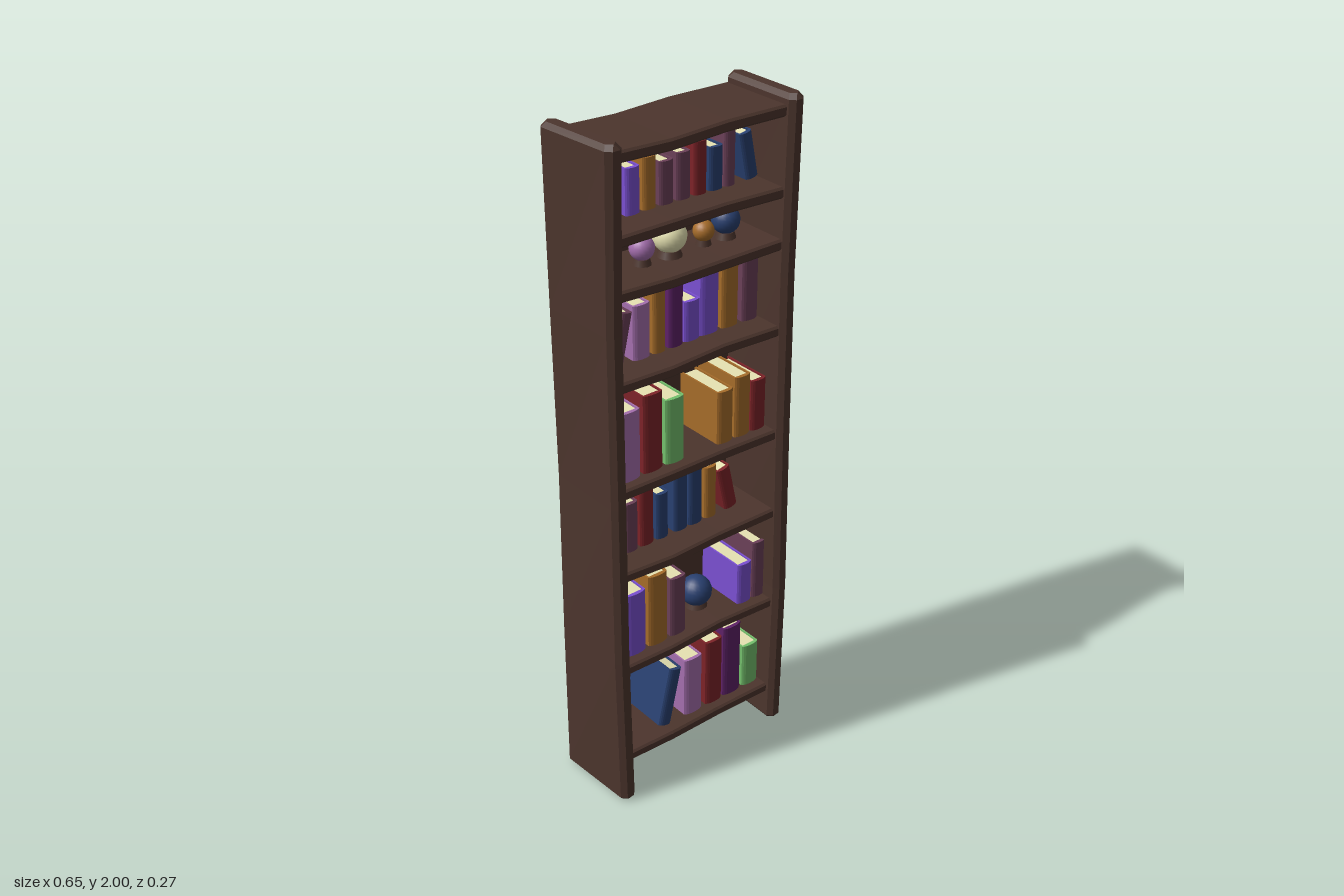
import * as THREE from 'three';

const mat = (name, color) => new THREE.MeshStandardMaterial({ name, color });
const M = {
  wood: mat('dark wood', 0x4c352d),
  violet: mat('violet cover', 0x7b50d2),
  ochre: mat('ochre cover', 0xa66c2a),
  plum: mat('plum cover', 0x6b4058),
  red: mat('red cover', 0x7d2328),
  navy: mat('navy cover', 0x294070),
  purple: mat('dark purple cover', 0x5e2268),
  lilac: mat('lilac cover', 0xa56fae),
  green: mat('green cover', 0x74c06c),
  cream: mat('cream paper', 0xeeeab8),
};

function add(parent, name, geometry, material, x = 0, y = 0, z = 0) {
  const mesh = new THREE.Mesh(geometry, material);
  mesh.name = name;
  mesh.position.set(x, y, z);
  parent.add(mesh);
  return mesh;
}

// Hand-hewn plank along y: chamfered cross-sections joined in a loop.
// Each station is [y, centre x, centre z, shear of x along z].
function plank(stations, w, d, bevel) {
  const last = stations.length - 1;
  const rings = stations.map(([y, cx, cz, shear], i) => ({ y, cx, cz, shear, inset: 0, i }));
  const first = rings[0], end = rings[last];
  rings.unshift({ ...first, inset: bevel });
  rings.push({ ...end, inset: bevel });
  first.y += bevel;
  end.y -= bevel;
  const pos = [], index = [];
  for (const { y, cx, cz, shear, inset } of rings) {
    const a = w / 2 - inset * 0.7, b = d / 2 - inset * 0.7, c = bevel;
    const outline = [[a, b - c], [a - c, b], [c - a, b], [-a, b - c],
      [-a, c - b], [c - a, -b], [a - c, -b], [a, c - b]];
    for (const [x, z] of outline) pos.push(cx + x + z * shear, y, cz + z);
  }
  for (let r = 0; r < rings.length - 1; r++) {
    for (let k = 0; k < 8; k++) {
      const p = r * 8 + k, q = r * 8 + (k + 1) % 8;
      index.push(p, p + 8, q, q, p + 8, q + 8);
    }
  }
  const top = (rings.length - 1) * 8;
  for (let k = 1; k < 7; k++) {
    index.push(0, k, k + 1);
    index.push(top, top + k + 1, top + k);
  }
  // Keep every face pointing outwards
  for (let i = 0; i < index.length - 12 * 3; i += 3) {
    [index[i + 1], index[i + 2]] = [index[i + 2], index[i + 1]];
  }
  for (let i = index.length - 12 * 3; i < index.length; i += 3) {
    const isTop = index[i] === top;
    const [a, b, c] = [index[i], index[i + 1], index[i + 2]].map((n) => new THREE.Vector3().fromArray(pos, n * 3));
    const up = b.sub(a).cross(c.sub(a)).y > 0;
    if (up !== isTop) [index[i + 1], index[i + 2]] = [index[i + 2], index[i + 1]];
  }
  const indexed = new THREE.BufferGeometry();
  indexed.setAttribute('position', new THREE.Float32BufferAttribute(pos, 3));
  indexed.setIndex(index);
  // Make the side walls face outwards too
  const p = (n) => new THREE.Vector3().fromArray(pos, n * 3);
  const [a, b, c] = [index[0], index[1], index[2]].map(p);
  const n = b.clone().sub(a).cross(c.clone().sub(a));
  const out = a.add(b).add(c).divideScalar(3).sub(new THREE.Vector3(first.cx, 0, first.cz)).setY(0);
  if (n.dot(out) < 0) {
    for (let i = 0; i < index.length - 36; i += 3) [index[i + 1], index[i + 2]] = [index[i + 2], index[i + 1]];
    indexed.setIndex(index);
  }
  const flat = indexed.toNonIndexed();
  flat.computeVertexNormals();
  return flat;
}

// Book: U-shaped cover with a rounded spine in front, and a recessed page block
function book(parent, material, x, y, w, h, depth, tilt) {
  const g = new THREE.Group();
  g.name = 'book';
  g.position.set(x, y, 0);
  g.rotation.z = tilt;
  const back = 0.086, front = back - depth, t = 0.005, a = w / 2;
  const s = new THREE.Shape();
  s.moveTo(-a, back);
  s.lineTo(-a, front + 0.008);
  s.quadraticCurveTo(-a * 0.7, front, 0, front);
  s.quadraticCurveTo(a * 0.7, front, a, front + 0.008);
  s.lineTo(a, back);
  s.lineTo(a - t, back);
  s.lineTo(a - t, front + 0.012);
  s.lineTo(t - a, front + 0.012);
  s.lineTo(t - a, back);
  s.closePath();
  const cover = new THREE.ExtrudeGeometry(s, { depth: h, bevelEnabled: false, curveSegments: 4 });
  cover.rotateX(-Math.PI / 2);
  add(g, 'bookCover', cover, material);
  add(g, 'bookPages', new THREE.BoxGeometry(w - 2 * t, h - 0.01, depth - 0.018), M.cream,
    0, h / 2, -(front + back) / 2 - 0.003);
  parent.add(g);
}

// Ball resting in a small wooden stand
function orb(parent, material, x, y, r, shelfY) {
  add(parent, 'ball', new THREE.SphereGeometry(r, 20, 14), material, x, y, 0);
  add(parent, 'ballStand', new THREE.CylinderGeometry(r * 0.6, r * 0.75, 0.018, 12), M.wood, x, shelfY + 0.008, 0);
}

// Shelf contents: [cover, centre x at the foot, width, height, tilt]
const ROWS = [
  { y: 1.755, depth: 0.11, books: [
    ['violet', -0.15, 0.045, 0.125], ['ochre', -0.098, 0.042, 0.14], ['plum', -0.044, 0.045, 0.117],
    ['plum', 0.011, 0.045, 0.127], ['red', 0.066, 0.042, 0.143], ['navy', 0.118, 0.045, 0.117],
    ['plum', 0.164, 0.037, 0.164], ['navy', 0.241, 0.04, 0.13, 0.2]] },
  { y: 1.355, depth: 0.12, books: [
    ['plum', -0.215, 0.04, 0.145, -0.22], ['lilac', -0.135, 0.055, 0.155], ['ochre', -0.077, 0.042, 0.175],
    ['purple', -0.021, 0.048, 0.19], ['violet', 0.034, 0.053, 0.117], ['violet', 0.093, 0.062, 0.19],
    ['ochre', 0.164, 0.057, 0.207], ['plum', 0.235, 0.055, 0.18]] },
  { y: 1.035, depth: 0.165, books: [
    ['lilac', -0.212, 0.068, 0.207], ['red', -0.135, 0.064, 0.235], ['green', -0.061, 0.063, 0.198],
    ['ochre', 0.115, 0.055, 0.16], ['ochre', 0.177, 0.055, 0.185], ['red', 0.235, 0.052, 0.155]] },
  { y: 0.77, depth: 0.115, books: [
    ['plum', -0.175, 0.047, 0.155], ['red', -0.12, 0.047, 0.175], ['navy', -0.066, 0.042, 0.145],
    ['navy', 0, 0.048, 0.197], ['navy', 0.053, 0.048, 0.197], ['ochre', 0.108, 0.042, 0.165],
    ['red', 0.185, 0.045, 0.14, 0.22]] },
  { y: 0.46, depth: 0.165, books: [
    ['violet', -0.2, 0.068, 0.205], ['ochre', -0.122, 0.066, 0.235], ['plum', -0.05, 0.056, 0.195],
    ['violet', 0.2, 0.053, 0.135], ['plum', 0.255, 0.05, 0.19]] },
  { y: 0.145, depth: 0.165, books: [
    ['navy', -0.1, 0.045, 0.19, -0.22], ['lilac', 0.008, 0.065, 0.198], ['red', 0.087, 0.062, 0.225],
    ['purple', 0.157, 0.066, 0.245], ['green', 0.23, 0.06, 0.145]] },
];

export function createModel() {
  const model = new THREE.Group();
  model.name = 'bookcase';

  // Crooked side panels
  add(model, 'rightSidePanel', plank([[0, -0.286, 0.007, 0.06], [0.5, -0.288, 0.002, 0.02], [1, -0.286, 0, 0],
    [1.5, -0.288, -0.004, 0.02], [1.997, -0.291, 0.001, 0.07]], 0.05, 0.262, 0.014), M.wood);
  add(model, 'leftSidePanel', plank([[0.015, 0.287, 0.005, 0], [0.5, 0.295, 0.002, 0.01], [1, 0.291, 0, 0],
    [1.5, 0.292, -0.004, -0.01], [2, 0.293, 0.002, 0]], 0.05, 0.262, 0.014), M.wood);

  // Back board
  add(model, 'backBoard', new THREE.BoxGeometry(0.55, 1.83, 0.02), M.wood, 0, 1.04, -0.105);

  // Wavy shelves, their back edges standing proud of the board
  [1.97, 1.755, 1.605, 1.355, 1.035, 0.77, 0.46, 0.145].forEach((y, i) => {
    const wave = (k) => 0.003 * Math.sin(i * 2.3 + k * 1.9);
    const stations = [-0.28, -0.1, 0.08, 0.28].map((x, k) => [x, wave(k), [-0.011, -0.004, -0.011, -0.006][k], 0]);
    const shelf = plank(stations, 0.032, 0.237, 0.006);
    shelf.rotateZ(-Math.PI / 2);
    add(model, 'shelf', shelf, M.wood, 0, y - 0.016, 0);
  });

  // Books
  for (const { y, depth, books } of ROWS) {
    for (const [cover, x, w, h, tilt = 0] of books) {
      const lift = Math.abs(Math.sin(tilt)) * w / 2;
      book(model, M[cover], x, y + lift, w, h, depth, tilt);
    }
  }

  // Ornaments
  orb(model, M.lilac, -0.11, 1.65, 0.034, 1.605);
  orb(model, M.cream, -0.02, 1.66, 0.046, 1.605);
  orb(model, M.ochre, 0.093, 1.643, 0.029, 1.605);
  orb(model, M.navy, 0.168, 1.655, 0.039, 1.605);
  orb(model, M.navy, 0.077, 0.515, 0.047, 0.46);
  return model;
}
